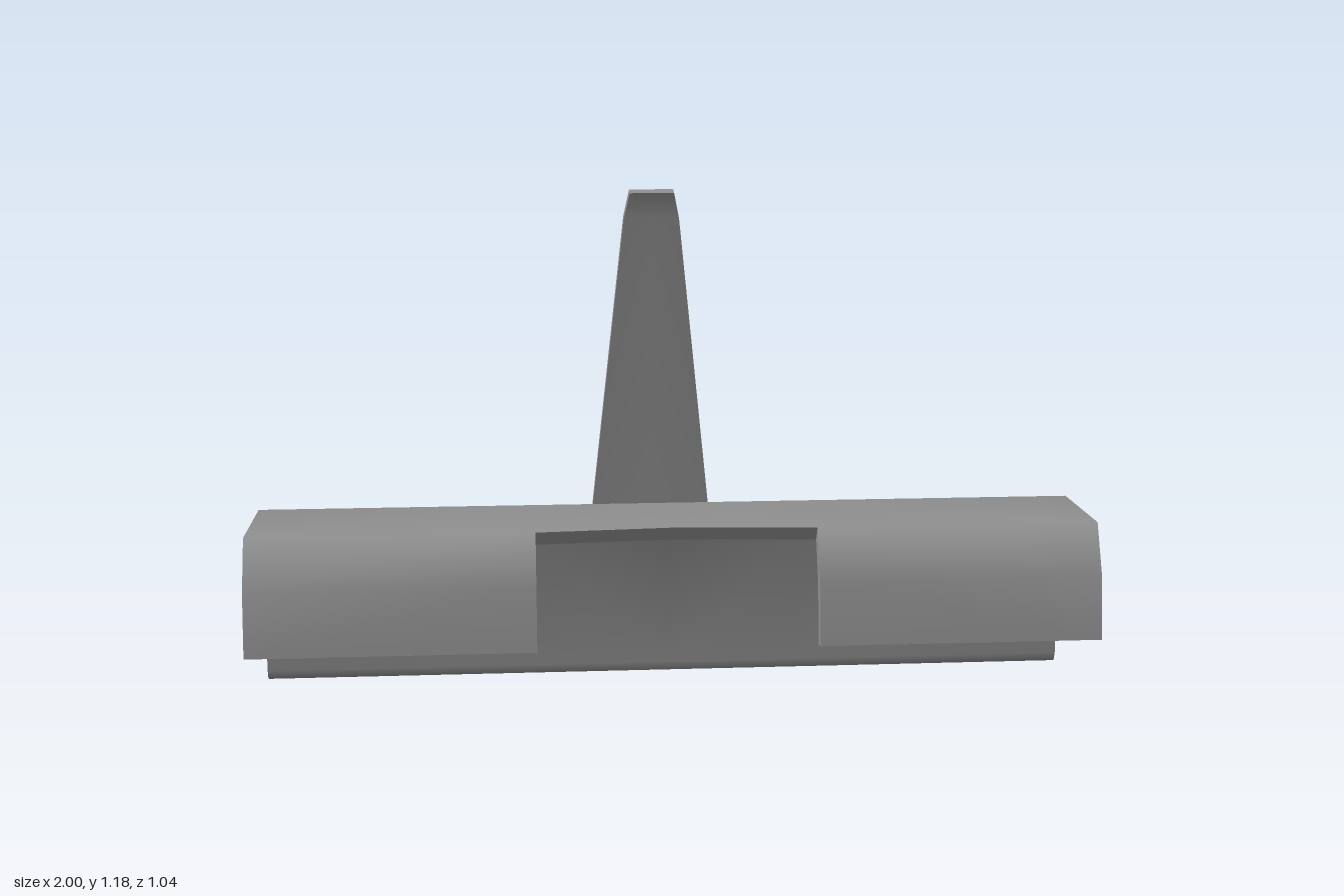
import * as THREE from 'three';

// Bent sheet, listed along its fold: [z, y] of side A, [z, y] of side B,
// two half-widths, and an optional z shift for the middle column.
const rows = [
  // hanging front lip
  [0.522, 0.19, 0.49, 0.185, 0.33, 1],
  [0.5, 0.34, 0.47, 0.33, 0.33, 1],
  // top of the channel
  [0.447, 0.457, 0.428, 0.423, 0.33, 1, -0.024],
  [0.175, 0.457, 0.19, 0.423, 0.33, 1],
  // upright wall
  [0.107, 0.383, 0.14, 0.37, 0.33, 1],
  [0.107, 0.046, 0.14, 0.035, 0.33, 1],
  [0.105, 0.039, 0.132, 0.012, 0.33, 1],
  [0.098, 0.037, 0.107, 0.003, 0.33, 1],
  // bottom flange with rounded corners
  [0.05, 0.037, 0.05, 0.003, 0.33, 1],
  [0.012, 0.037, 0.012, 0.003, 0.33, 0.985],
  [0, 0.037, 0, 0.003, 0.33, 0.95],
  // foot narrowing backwards
  [-0.01, 0.037, -0.01, 0.003, 0.303, 1],
  [-0.04, 0.038, -0.04, 0.004, 0.285, 1],
  [-0.425, 0.05, -0.435, 0.018, 0.218, 1],
  // bend and tapering upright tongue
  [-0.47, 0.085, -0.505, 0.068, 0.2, 1],
  [-0.488, 0.155, -0.522, 0.15, 0.178, 1],
  [-0.42, 1.105, -0.453, 1.11, 0.075, 1],
  [-0.4, 1.175, -0.432, 1.183, 0.06, 1],
];
const CHANNEL = 2; // first full-width row
const FOOT = 10;   // last full-width row

function surface(points, index) {
  const g = new THREE.BufferGeometry();
  g.setAttribute('position', new THREE.Float32BufferAttribute(points.flat(), 3));
  if (index) g.setIndex(index);
  g.computeVertexNormals();
  return g;
}

export function createModel() {
  const metal = new THREE.MeshStandardMaterial({ color: 0x909090 });
  metal.name = 'grey metal';
  const group = new THREE.Group();
  group.name = 'bentBracket';

  // five columns of points on each side of the sheet
  const A = [], B = [];
  for (const [za, ya, zb, yb, w1, w2, dip = 0] of rows) {
    [-w2, -w1, 0, w1, w2].forEach((x, j) => {
      const d = j === 2 ? dip : 0;
      A.push([x, ya, za + d]);
      B.push([x, yb, zb + d]);
    });
  }

  // faces: the lip leaves out the middle, the tongue leaves out the sides
  const index = [];
  for (let i = 0; i < rows.length - 1; i++) {
    for (let j = 0; j < 4; j++) {
      const middle = j === 1 || j === 2;
      if (i < CHANNEL && middle) continue;
      if (i >= FOOT && !middle) continue;
      const a = i * 5 + j, b = a + 1, c = a + 5, d = c + 1;
      if (j < 2) index.push(a, b, d, a, d, c);
      else index.push(a, b, c, b, d, c);
    }
  }

  // close the cut edge wherever a face side has no neighbour
  const sides = new Set();
  const eachSide = (fn) => {
    for (let t = 0; t < index.length; t += 3)
      for (let k = 0; k < 3; k++) fn(index[t + k], index[t + (k + 1) % 3]);
  };
  eachSide((a, b) => sides.add(`${a}_${b}`));
  const rim = [];
  eachSide((a, b) => {
    if (!sides.has(`${b}_${a}`)) rim.push(A[b], A[a], B[a], A[b], B[a], B[b]);
  });

  const reversed = [];
  for (let t = 0; t < index.length; t += 3) reversed.push(index[t], index[t + 2], index[t + 1]);

  const add = (name, geometry) => {
    const mesh = new THREE.Mesh(geometry, metal);
    mesh.name = name;
    group.add(mesh);
  };
  add('sheetUpperSide', surface(A, index));
  add('sheetUnderside', surface(B, reversed));
  add('sheetCutEdge', surface(rim));
  return group;
}
